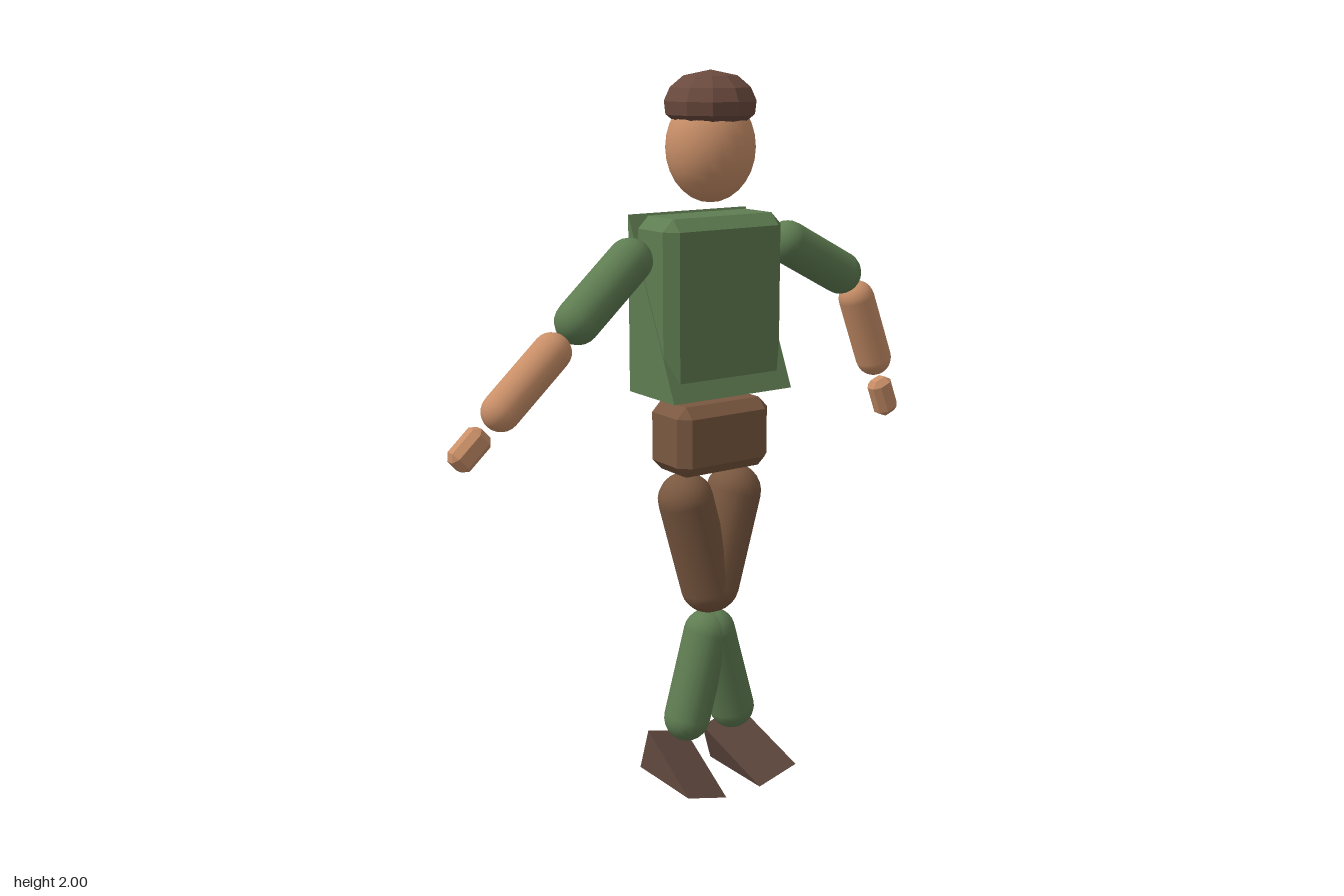
import * as THREE from 'three';
import { ConvexGeometry } from 'three/addons/geometries/ConvexGeometry.js';

const mat = (color, flatShading = false) => new THREE.MeshStandardMaterial({ color, flatShading });
const GREEN = 0x5f7d52, SKIN = 0xc98f68, BROWN = 0x7a5840, CAP = 0x6b4a3e, SHOE = 0x5a433a;
const CX = 0.055, CZ = -0.022; // centre line of the body

// Box with every edge cut at 45 degrees
function chamferBox(w, h, d, c) {
  const pts = [];
  for (const x of [-1, 1]) for (const y of [-1, 1]) for (const z of [-1, 1]) {
    for (let axis = 0; axis < 3; axis++) {
      const inset = [c, c, c];
      inset[axis] = 0;
      pts.push(new THREE.Vector3(x * (w / 2 - inset[0]), y * (h / 2 - inset[1]), z * (d / 2 - inset[2])));
    }
  }
  return new ConvexGeometry(pts);
}

// Ramp with an upright back, sloping down to the front
function wedge(w, h, d) {
  const pts = [];
  for (const x of [-w / 2, w / 2]) {
    pts.push(new THREE.Vector3(x, -h / 2, -d / 2),
      new THREE.Vector3(x, -h / 2, d / 2),
      new THREE.Vector3(x, h / 2, -d / 2));
  }
  return new ConvexGeometry(pts);
}

export function createModel() {
  const model = new THREE.Group();
  model.name = 'standingFigure';

  function add(name, geometry, material, x, y, z = CZ, rotZ = 0) {
    const mesh = new THREE.Mesh(geometry, material);
    mesh.name = name;
    mesh.position.set(x, y, z);
    mesh.rotation.z = rotZ;
    model.add(mesh);
    return mesh;
  }

  // Capsule between two cap centres in the plane of the body
  function limb(name, color, r, x0, y0, x1, y1) {
    const length = Math.hypot(x1 - x0, y1 - y0);
    const angle = Math.atan2(x1 - x0, y0 - y1);
    add(name, new THREE.CapsuleGeometry(r, length, 6, 18), mat(color),
      (x0 + x1) / 2, (y0 + y1) / 2, CZ, angle);
  }

  // Head
  const head = add('head', new THREE.SphereGeometry(1, 20, 14), mat(SKIN), CX, 1.8);
  head.scale.set(0.123, 0.145, 0.115);

  // Cap
  const capProfile = [[0, 0], [0.095, 0], [0.12, 0.02], [0.124, 0.055], [0.108, 0.09], [0.072, 0.12], [0, 0.135]]
    .map(([r, y]) => new THREE.Vector2(r, y));
  add('cap', new THREE.LatheGeometry(capProfile, 11), mat(CAP, true), CX, 1.865);

  // Torso block with a flared coat behind and below it
  add('torso', chamferBox(0.386, 0.478, 0.18, 0.032), mat(GREEN, true), CX, 1.385);
  add('coat', wedge(0.39, 0.48, 0.215), mat(GREEN, true), CX, 1.385, -0.018);

  // Hips
  add('hips', chamferBox(0.303, 0.195, 0.18, 0.03), mat(BROWN, true), CX, 1.022);

  // Legs and shoes, mirrored
  for (const [side, s] of [['left', 1], ['right', -1]]) {
    limb(side + 'Thigh', BROWN, 0.078, CX + s * 0.082, 0.842, CX + s * 0.007, 0.578);
    limb(side + 'Shin', GREEN, 0.066, CX + s * 0.01, 0.438, CX + s * 0.079, 0.192);
    add(side + 'Shoe', wedge(0.135, 0.11, 0.243), mat(SHOE, true), CX + s * 0.11, 0.073, 0.022, s * 0.26);
  }

  // Arms: shoulder, elbow, forearm top, wrist, hand centre
  const arms = {
    left: [[0.32, 1.53], [0.512, 1.43], [0.577, 1.35], [0.648, 1.167], [0.688, 1.047]],
    right: [[-0.203, 1.517], [-0.363, 1.374], [-0.442, 1.302], [-0.592, 1.167], [-0.685, 1.082]],
  };
  for (const [side, [shoulder, elbow, forearm, wrist, hand]] of Object.entries(arms)) {
    limb(side + 'UpperArm', GREEN, 0.061, ...shoulder, ...elbow);
    limb(side + 'Forearm', SKIN, 0.052, ...forearm, ...wrist);
    const angle = Math.atan2(wrist[0] - forearm[0], forearm[1] - wrist[1]);
    add(side + 'Hand', chamferBox(0.07, 0.115, 0.06, 0.017), mat(SKIN, true), hand[0], hand[1], CZ, angle);
  }

  return model;
}
